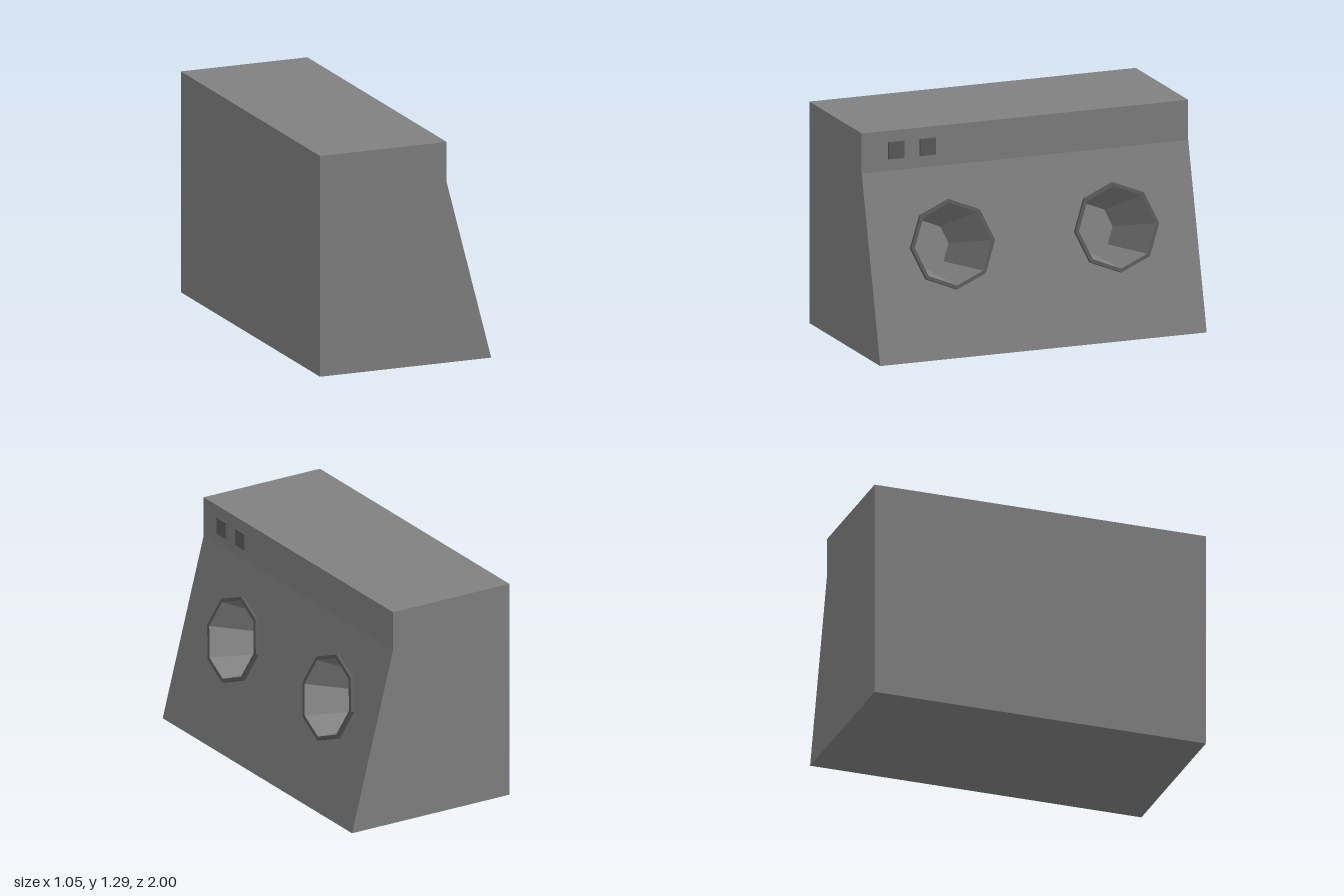
import * as THREE from 'three';

const L = -0.53, FOOT = 0.525, FACE = 0.25, BEND = 1.06, TOP = 1.295;
const drumSpots = [-0.495, 0.51]; // sideways positions along the sloped panel

const flat = (geo) => {
  const g = geo.index ? geo.toNonIndexed() : geo;
  g.computeVertexNormals();
  return g;
};

// Removes the faces pointing along a direction, leaving an opening
function removeFaces(geo, dir) {
  const p = geo.attributes.position, kept = [];
  const tri = new THREE.Triangle(), n = new THREE.Vector3();
  for (let i = 0; i < p.count; i += 3) {
    tri.setFromAttributeAndIndices(p, i, i + 1, i + 2).getNormal(n);
    if (n.dot(dir) > 0.999) continue;
    for (const v of [tri.a, tri.b, tri.c]) kept.push(v.x, v.y, v.z);
  }
  const out = new THREE.BufferGeometry();
  out.setAttribute('position', new THREE.Float32BufferAttribute(kept, 3));
  return flat(out);
}

// Eight-sided turned part facing +z
function turned(profile) {
  const geo = new THREE.LatheGeometry(profile.map(([r, y]) => new THREE.Vector2(r, y)), 8);
  return flat(geo.rotateX(Math.PI / 2));
}

export function createModel() {
  const model = new THREE.Group();
  model.name = 'machineCabinet';
  const bodyGrey = new THREE.MeshStandardMaterial({ color: 0x808080 });
  bodyGrey.name = 'bodyGrey';
  const darkGrey = new THREE.MeshStandardMaterial({ color: 0x5a5a5a });
  darkGrey.name = 'darkGrey';

  const add = (parent, name, geo, mat) => {
    const mesh = new THREE.Mesh(geo, mat);
    mesh.name = name;
    parent.add(mesh);
    return mesh;
  };

  // Frame of the sloped panel: across, up the slope, outward
  const across = new THREE.Vector3(0, 0, -1);
  const up = new THREE.Vector3(FACE - FOOT, BEND, 0);
  const slopeLength = up.length();
  up.normalize();
  const outward = new THREE.Vector3().crossVectors(across, up);

  // Cabinet, open where the sloped panel goes
  const profile = new THREE.Shape([[L, 0], [FOOT, 0], [FACE, BEND], [FACE, TOP], [L, TOP]]
    .map(([x, y]) => new THREE.Vector2(x, y)));
  const cabinet = new THREE.ExtrudeGeometry(profile, { depth: 2, bevelEnabled: false }).translate(0, 0, -1);
  add(model, 'cabinet', removeFaces(cabinet, outward), bodyGrey);

  // Sloped panel with two octagonal openings
  const slope = new THREE.Group();
  slope.name = 'slopedFront';
  slope.quaternion.setFromRotationMatrix(new THREE.Matrix4().makeBasis(across, up, outward));
  slope.position.set(FOOT, 0, 0);
  model.add(slope);

  const drumHeight = 0.645;
  const panel = new THREE.Shape([[-1, 0], [1, 0], [1, slopeLength], [-1, slopeLength]]
    .map(([x, y]) => new THREE.Vector2(x, y)));
  for (const x of drumSpots) {
    const corners = [];
    for (let i = 0; i < 8; i++) {
      const a = -i * Math.PI / 4;
      corners.push(new THREE.Vector2(x + 0.24 * Math.cos(a), drumHeight + 0.24 * Math.sin(a)));
    }
    panel.holes.push(new THREE.Path(corners));
  }
  add(slope, 'slopedPanel', new THREE.ShapeGeometry(panel), bodyGrey);

  // Raised rims and tapering drums
  for (const x of drumSpots) {
    const door = new THREE.Group();
    door.name = 'drumOpening';
    door.position.set(x, drumHeight, 0);
    slope.add(door);
    add(door, 'rim', turned([[0.257, 0], [0.257, 0.022], [0.235, 0.022]]), darkGrey);
    add(door, 'drum', turned([[0.235, 0.022], [0.14, -0.4], [0, -0.4]]), bodyGrey);
  }

  // Control buttons on the upright strip
  for (const z of [0.793, 0.598]) {
    add(model, 'button', new THREE.BoxGeometry(0.015, 0.098, 0.095), darkGrey)
      .position.set(FACE + 0.0075, 1.18, z);
  }
  return model;
}
